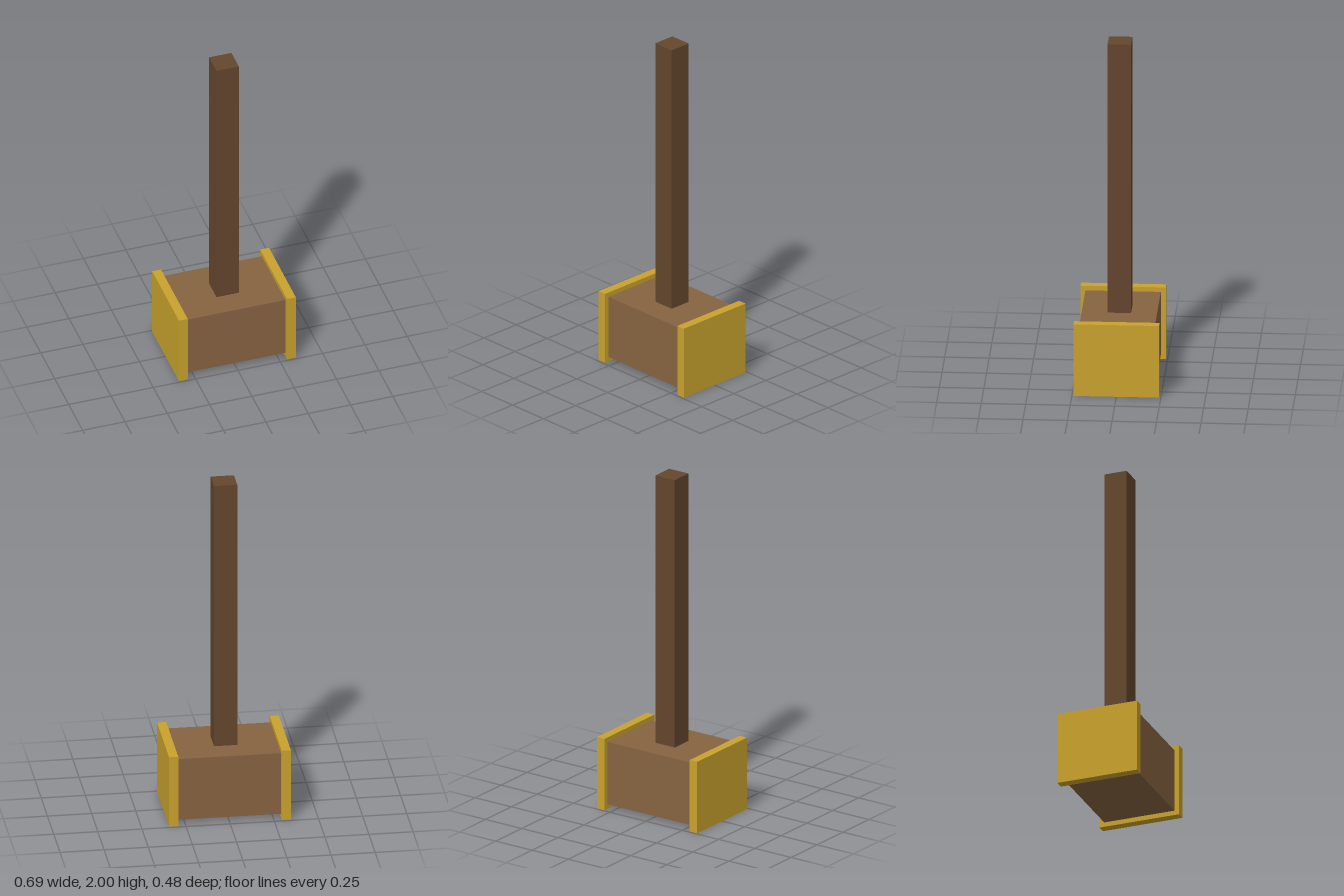
import * as THREE from 'three';

export function createModel() {
  const model = new THREE.Group();
  model.name = 'mallet';

  const material = (name, color) => {
    const m = new THREE.MeshStandardMaterial({ color });
    m.name = name;
    return m;
  };
  const darkWood = material('dark wood', 0x64462d);
  const wood = material('wood', 0x876341);
  const gold = material('gold', 0xc9a22d);

  // Box spanning y0..y1, centred on z = 0
  const addBox = (name, mat, width, y0, y1, depth, x = 0) => {
    const mesh = new THREE.Mesh(new THREE.BoxGeometry(width, y1 - y0, depth), mat);
    mesh.name = name;
    mesh.position.set(x, (y0 + y1) / 2, 0);
    model.add(mesh);
  };

  // Square handle rising from the head
  addBox('handle', darkWood, 0.132, 0.3, 2, 0.132);

  // Wooden head block
  addBox('head', wood, 0.6, 0.027, 0.4, 0.424);

  // Gold striking plates on both ends
  for (const [name, side] of [['leftPlate', 1], ['rightPlate', -1]]) {
    addBox(name, gold, 0.052, 0, 0.427, 0.48, side * 0.319);
  }

  return model;
}
